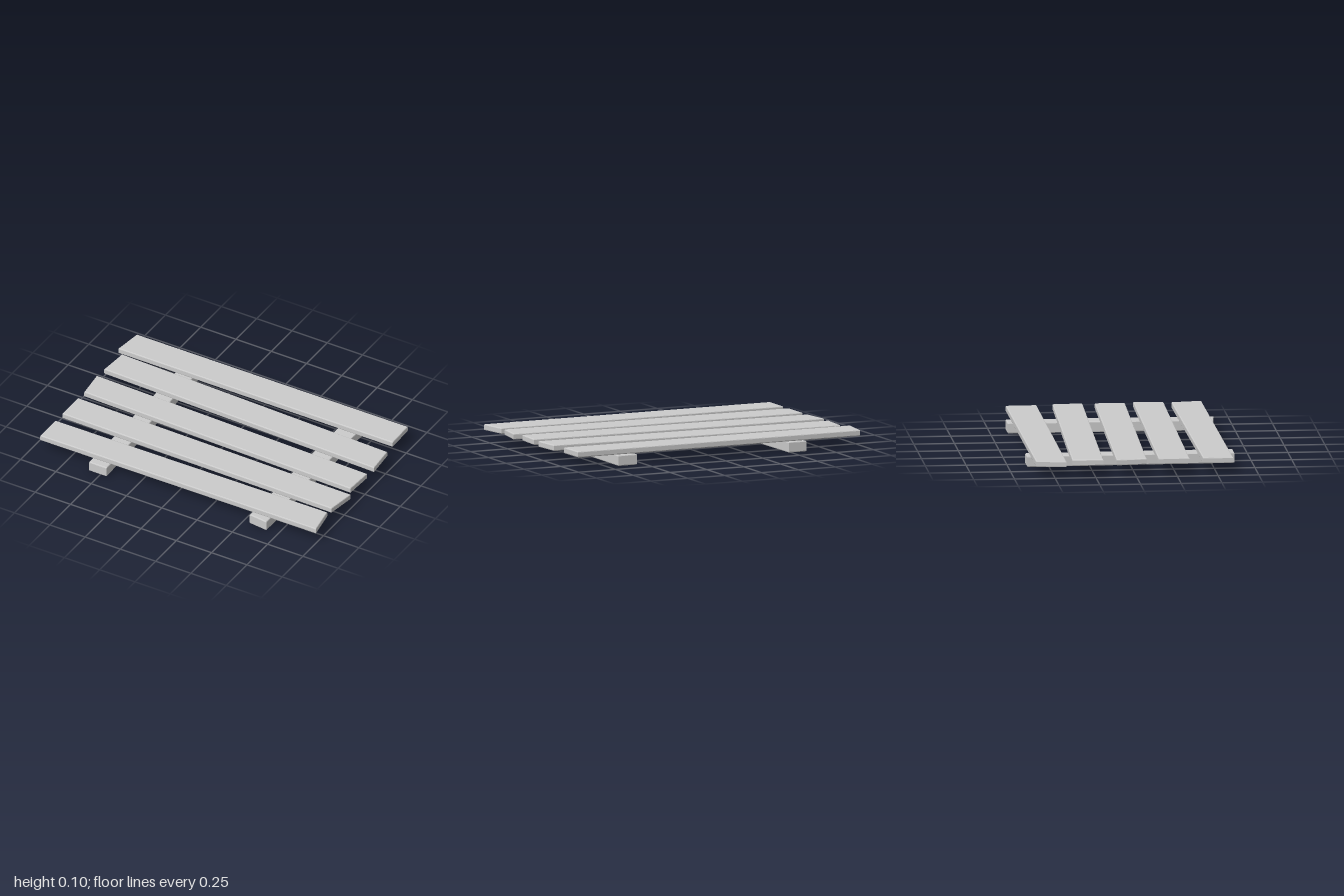
import * as THREE from 'three';

const BEVEL = 0.006;

// A slab with a four-cornered outline in plan ([x, z] corners), softened edges
function slab(name, corners, bottom, top, material) {
  const shape = new THREE.Shape(corners.map(([x, z]) => new THREE.Vector2(x, -z)));
  const geometry = new THREE.ExtrudeGeometry(shape, {
    depth: top - bottom - 2 * BEVEL,
    bevelEnabled: true,
    bevelThickness: BEVEL,
    bevelSize: BEVEL,
    bevelOffset: -BEVEL,
    bevelSegments: 2,
  });
  geometry.rotateX(-Math.PI / 2);
  geometry.translate(0, bottom + BEVEL, 0);
  const mesh = new THREE.Mesh(geometry, material);
  mesh.name = name;
  return mesh;
}

export function createModel() {
  const group = new THREE.Group();
  group.name = 'woodenPallet';
  const wood = new THREE.MeshStandardMaterial({ color: 0xcccccc });

  // Two bearers running front to back
  const bearers = [
    [[-0.602, -0.635], [-0.482, -0.635], [-0.455, 0.64], [-0.58, 0.64]],
    [[0.553, -0.645], [0.68, -0.645], [0.672, 0.632], [0.545, 0.617]],
  ];
  bearers.forEach((c, i) => group.add(slab(`bearer${i + 1}`, c, 0, 0.066, wood)));

  // Five crooked planks laid across, back to front
  const planks = [
    [[-0.976, -0.615], [0.94, -0.62], [0.945, -0.43], [-1.0, -0.43]],
    [[-0.95, -0.39], [0.965, -0.33], [0.98, -0.145], [-0.965, -0.2]],
    [[-0.97, -0.12], [0.975, -0.07], [0.965, 0.115], [-0.95, 0.067]],
    [[-0.95, 0.14], [0.998, 0.168], [0.97, 0.353], [-0.95, 0.33]],
    [[-0.95, 0.413], [0.968, 0.4], [0.998, 0.587], [-0.95, 0.598]],
  ];
  planks.forEach((c, i) => group.add(slab(`plank${i + 1}`, c, 0.067, 0.104, wood)));

  return group;
}
